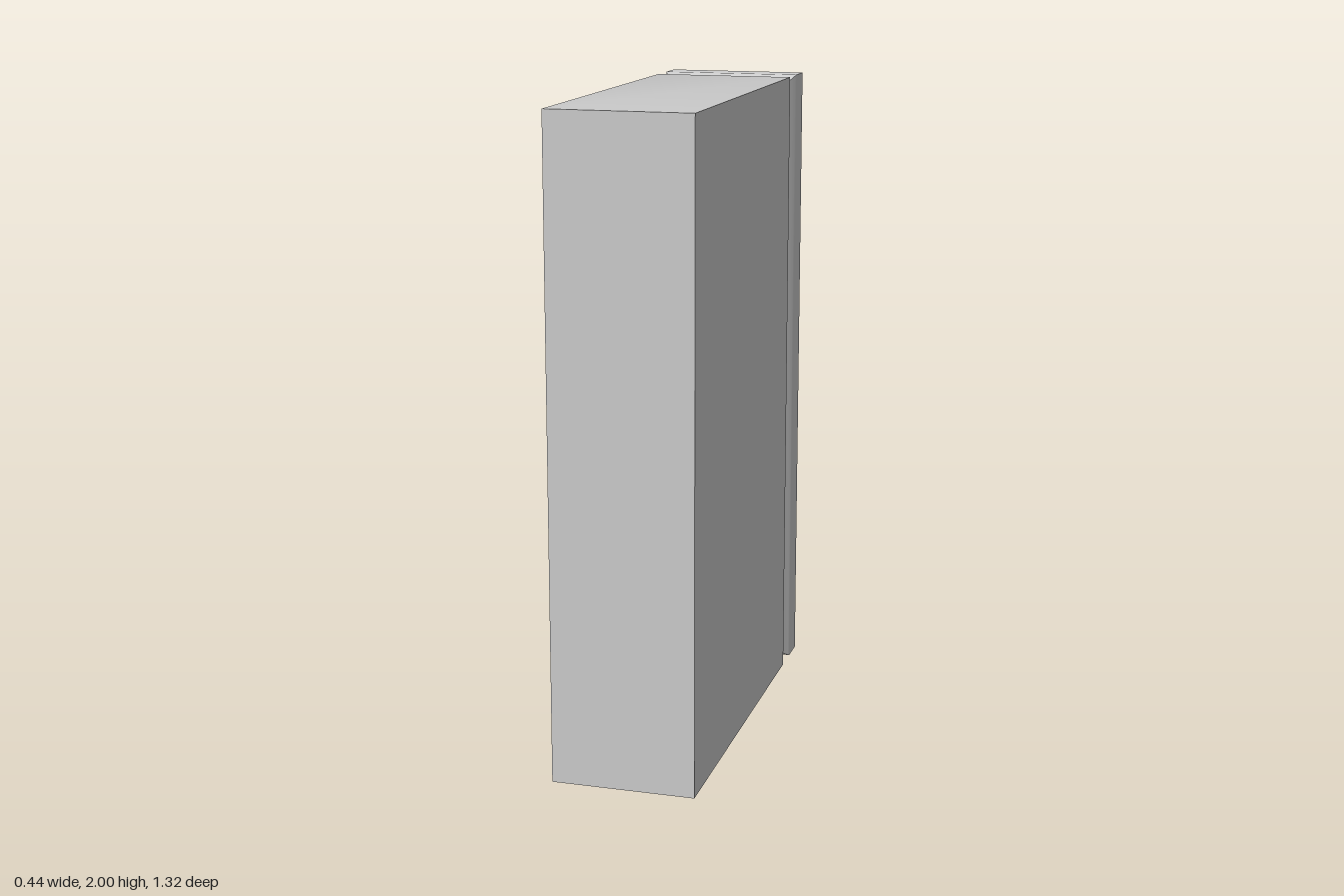
import * as THREE from 'three';
import { toCreasedNormals } from 'three/addons/utils/BufferGeometryUtils.js';

const HALF_W = 0.22, HALF_H = 1, HALF_D = 0.66;

// Side profile from front to back: [z, inset]; a soft V groove runs round the block
const PROFILE = [
  [HALF_D, 0], [-0.48, 0], [-0.488, 0.003], [-0.515, 0.022], [-0.527, 0.028],
  [-0.539, 0.022], [-0.565, 0.003], [-0.573, 0], [-HALF_D, 0],
];

// Corners of the rectangular cross-section, anticlockwise seen from the front
const CORNERS = [[1, -1], [1, 1], [-1, 1], [-1, -1]];

function groovedBlock() {
  const positions = [], index = [];
  for (const [z, inset] of PROFILE) {
    for (const [sx, sy] of CORNERS) {
      positions.push(sx * (HALF_W - inset), HALF_H + sy * (HALF_H - inset), z);
    }
  }
  // Four sides, ring to ring
  for (let r = 0; r < PROFILE.length - 1; r++) {
    for (let i = 0; i < 4; i++) {
      const a = r * 4 + i, b = r * 4 + (i + 1) % 4;
      index.push(a, a + 4, b, b, a + 4, b + 4);
    }
  }
  // Front and back faces
  const e = (PROFILE.length - 1) * 4;
  index.push(0, 1, 2, 0, 2, 3, e, e + 2, e + 1, e, e + 3, e + 2);

  const geometry = new THREE.BufferGeometry();
  geometry.setAttribute('position', new THREE.Float32BufferAttribute(positions, 3));
  geometry.setIndex(index);
  return toCreasedNormals(geometry, Math.PI / 3.2);
}

export function createModel() {
  const group = new THREE.Group();
  group.name = 'groovedPanel';
  const block = new THREE.Mesh(groovedBlock(), new THREE.MeshStandardMaterial({ color: 0xcccccc }));
  block.name = 'block';
  group.add(block);
  return group;
}
